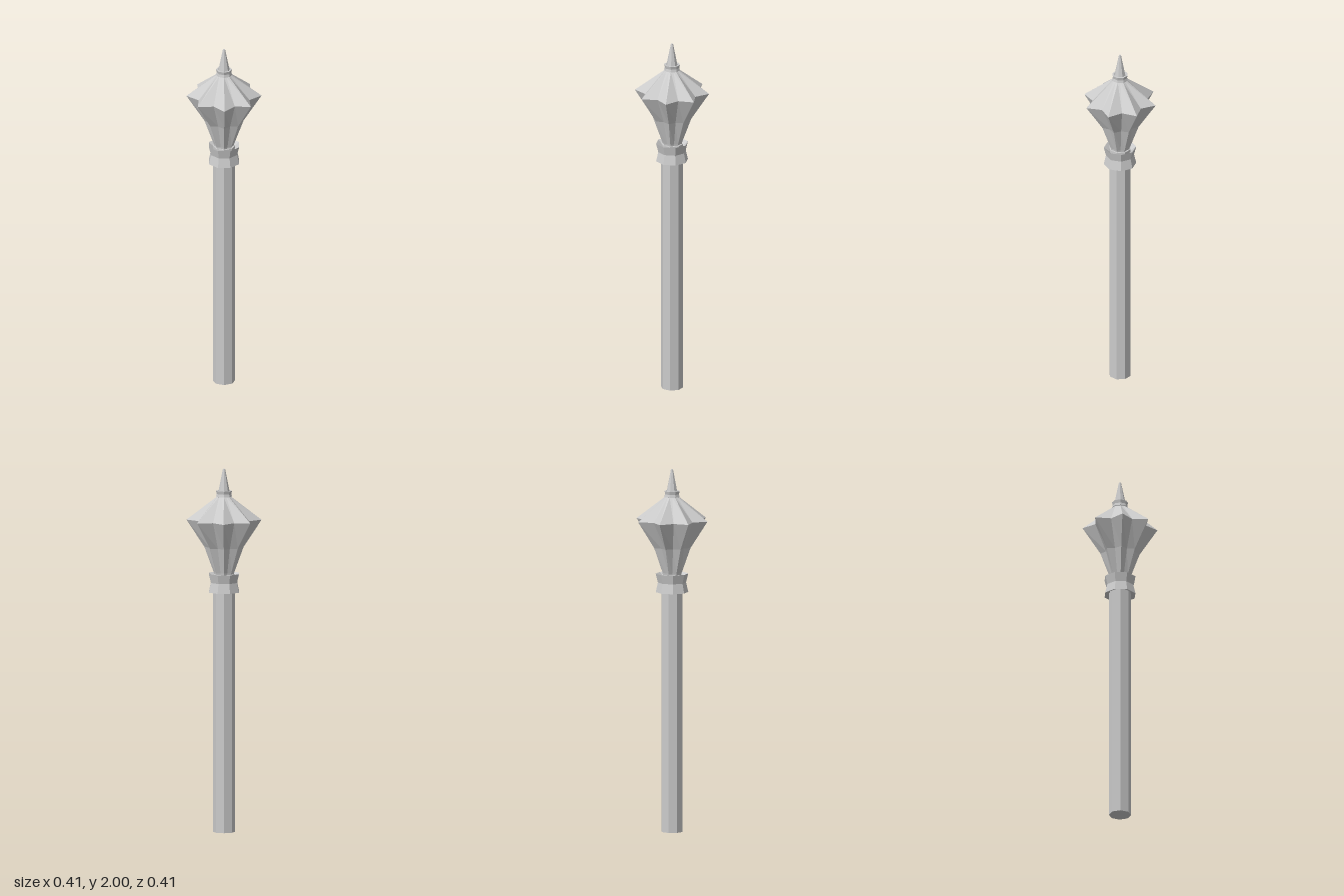
import * as THREE from 'three';

const SIDES = 8;
const material = new THREE.MeshStandardMaterial({ color: 0xcccccc, flatShading: true, side: THREE.DoubleSide });

function addMesh(group, name, geometry) {
  const mesh = new THREE.Mesh(geometry, material);
  mesh.name = name;
  group.add(mesh);
}

// Eight-sided turned part from [radius, height] pairs, bottom to top
function turned(profile, turn = 0) {
  const points = profile.map(([r, y]) => new THREE.Vector2(r, y));
  return new THREE.LatheGeometry(points, SIDES, turn);
}

// Eight-pointed star section from [ridge radius, valley radius, height] rows
function starHead(rows) {
  const points = rows.map(([ridge, , y]) => new THREE.Vector2(ridge, y));
  const geometry = new THREE.LatheGeometry(points, SIDES * 2);
  const pos = geometry.attributes.position;
  for (let i = 0; i < pos.count; i++) {
    const column = Math.floor(i / rows.length);
    if (column % 2 === 0) continue;
    const [ridge, valley] = rows[i % rows.length];
    const k = valley / ridge;
    pos.setX(i, pos.getX(i) * k);
    pos.setZ(i, pos.getZ(i) * k);
  }
  geometry.computeVertexNormals();
  return geometry;
}

export function createModel() {
  const model = new THREE.Group();
  model.name = 'mace';

  // Long octagonal handle, running up inside the head
  const shaft = new THREE.CylinderGeometry(0.061, 0.061, 1.42, SIDES);
  shaft.translate(0, 0.71, 0);
  addMesh(model, 'shaft', shaft);

  // Waisted collar, turned half a side against the shaft
  addMesh(model, 'collar', turned([
    [0.06, 1.335], [0.089, 1.322], [0.077, 1.375], [0.089, 1.424], [0.058, 1.4],
  ], Math.PI / SIDES));

  // Flanged head
  addMesh(model, 'flangedHead', starHead([
    [0.05, 0.043, 1.4],
    [0.056, 0.048, 1.43],
    [0.107, 0.085, 1.57],
    [0.205, 0.15, 1.72],
    [0.038, 0.036, 1.848],
  ]));

  // Small ring under the spike
  addMesh(model, 'neckRing', turned([
    [0.034, 1.845], [0.044, 1.848], [0.04, 1.863], [0.044, 1.88], [0.034, 1.88], [0.03, 1.87],
  ]));

  // Blunt-tipped spike
  const spike = new THREE.CylinderGeometry(0.006, 0.034, 0.14, SIDES);
  spike.translate(0, 1.93, 0);
  addMesh(model, 'spike', spike);

  return model;
}
